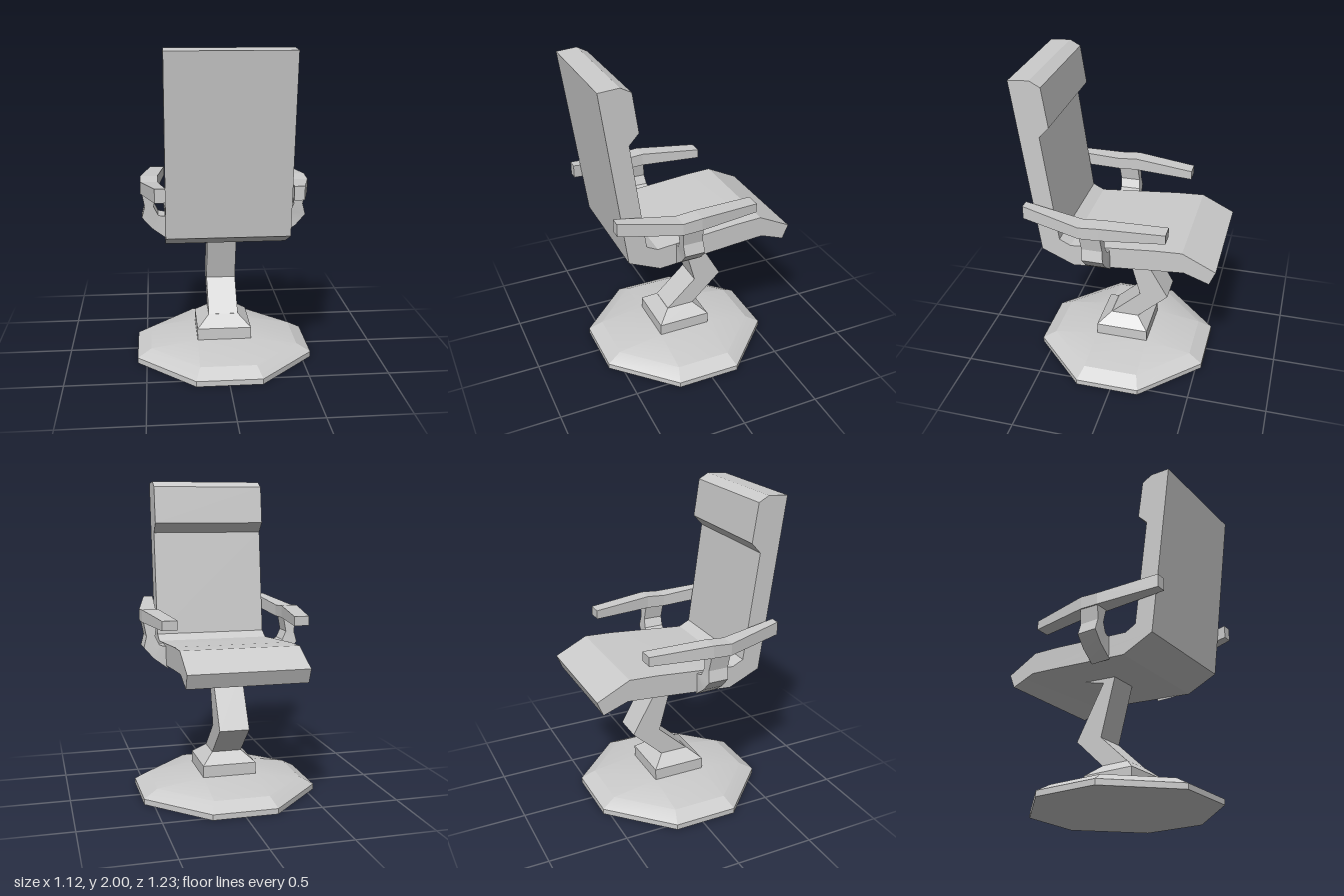
import * as THREE from 'three';
import { toCreasedNormals } from 'three/addons/utils/BufferGeometryUtils.js';

const material = new THREE.MeshStandardMaterial({ color: 0xcccccc });

function part(name, geometry, crease = 0.5) {
  const mesh = new THREE.Mesh(toCreasedNormals(geometry, crease), material);
  mesh.name = name;
  return mesh;
}

// Joins rings of [x, y, z] points, counter-clockwise seen from the far end, and caps both ends.
function loft(rings) {
  const pos = [];
  const n = rings[0].length;
  const last = rings[rings.length - 1];
  for (let i = 0; i < rings.length - 1; i++) {
    for (let j = 0; j < n; j++) {
      const k = (j + 1) % n;
      const [a, b, c, d] = [rings[i][j], rings[i][k], rings[i + 1][k], rings[i + 1][j]];
      pos.push(...a, ...b, ...c, ...a, ...c, ...d);
    }
  }
  for (let j = 1; j < n - 1; j++) {
    pos.push(...rings[0][0], ...rings[0][j + 1], ...rings[0][j]);
    pos.push(...last[0], ...last[j], ...last[j + 1]);
  }
  const geometry = new THREE.BufferGeometry();
  geometry.setAttribute('position', new THREE.Float32BufferAttribute(pos, 3));
  return geometry;
}

// Extrudes a side outline of [z, y] points evenly across x.
function sideExtrude(outline, width) {
  const shape = new THREE.Shape(outline.map(([z, y]) => new THREE.Vector2(z, y)));
  const geometry = new THREE.ExtrudeGeometry(shape, { depth: width, bevelEnabled: false });
  return geometry.translate(0, 0, -width / 2).rotateY(-Math.PI / 2);
}

const mirror = (rings, side) =>
  side > 0 ? rings : rings.map((r) => r.map(([x, y, z]) => [-x, y, z]).reverse());

export function createModel() {
  const chair = new THREE.Group();
  chair.name = 'swivelArmchair';
  const baseZ = 0.022;

  // Octagonal foot, narrowing to a square under the collar
  const octagon = (h, c, y) =>
    [[h, c], [h, -c], [c, -h], [-c, -h], [-h, -c], [-h, c], [-c, h], [c, h]]
      .map(([x, z]) => [x, y, z + baseZ]);
  chair.add(part('footPlate', loft([
    octagon(0.558, 0.203, 0), octagon(0.558, 0.203, 0.035),
    octagon(0.47, 0.175, 0.085), octagon(0.172, 0.172, 0.13),
  ]), 0.35));

  // Square collar tapering up to the stem
  const square = (w, z0, z1, y) => [[w, y, z1], [w, y, z0], [-w, y, z0], [-w, y, z1]];
  chair.add(part('collar', loft([
    square(0.172, -0.15, 0.194, 0.125), square(0.172, -0.15, 0.194, 0.205),
    square(0.095, -0.07, 0.112, 0.272),
  ])));

  // Bent stem with a wedge bracing the underside of the seat
  chair.add(part('stem', sideExtrude([
    [0.112, 0.27], [-0.085, 0.455], [0.02, 0.84], [-0.23, 0.855],
    [-0.07, 0.81], [-0.27, 0.46], [-0.07, 0.27],
  ], 0.19)));

  // Seat, backrest and headrest as one folded cushion
  chair.add(part('seatAndBackrest', sideExtrude([
    [0.618, 1.99], [0.49, 2], [0.425, 1.965], [0.39, 1.725], [0.45, 1.66],
    [0.36, 0.985], [0.29, 0.95], [-0.23, 0.995], [-0.405, 1.003], [-0.612, 0.9],
    [-0.575, 0.81], [-0.42, 0.867], [-0.23, 0.853], [0.275, 0.81], [0.475, 0.9],
  ], 0.738)));

  // Armrest sections: z, inner x, outer x, bottom y, top y
  const restRings = [
    [-0.32, 0.363, 0.457, 1.11, 1.168],
    [0.07, 0.41, 0.516, 1.11, 1.19],
    [0.19, 0.41, 0.516, 1.105, 1.18],
    [0.562, 0.368, 0.43, 1.14, 1.223],
  ].map(([z, a, b, y0, y1]) => [[a, y0, z], [b, y0, z], [b, y1, z], [a, y1, z]]);

  // Support sections: inner [x, y], outer [x, y], front z, back z
  const supportRings = [
    [[0.42, 1.13], [0.512, 1.13], 0.062, 0.19],
    [[0.437, 1.02], [0.492, 1.02], 0.052, 0.18],
    [[0.41, 0.965], [0.51, 0.95], 0.046, 0.175],
    [[0.39, 0.957], [0.45, 0.88], 0.042, 0.172],
    [[0.36, 0.955], [0.36, 0.812], 0.04, 0.17],
  ].map(([i, o, z0, z1]) => [[...o, z0], [...o, z1], [...i, z1], [...i, z0]]);

  for (const side of [1, -1]) {
    const arm = new THREE.Group();
    arm.name = side > 0 ? 'leftArm' : 'rightArm';
    arm.add(part('armrest', loft(mirror(restRings, side)), 0.1));
    arm.add(part('armSupport', loft(mirror(supportRings, side)), 0.35));
    chair.add(arm);
  }
  return chair;
}
